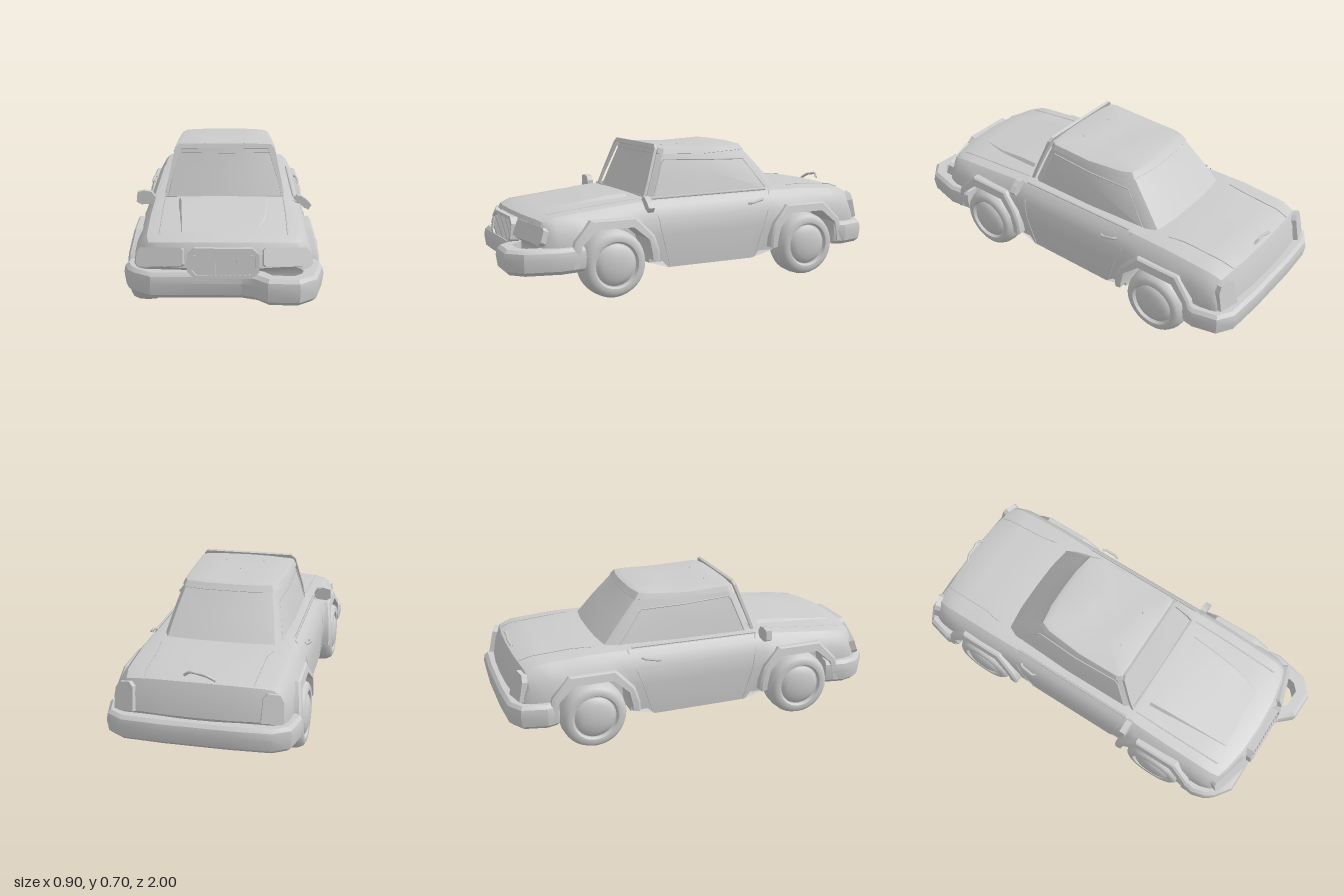
import * as THREE from 'three';
import { toCreasedNormals } from 'three/addons/utils/BufferGeometryUtils.js';

const mat = new THREE.MeshStandardMaterial({ color: 0xcccccc, side: THREE.DoubleSide });
const V = (x, y, z) => new THREE.Vector3(x, y, z);
const FRONT = 0.49, REAR = -0.59;

export function createModel() {
  const car = new THREE.Group();
  car.name = 'car';
  const add = (name, geo, parent = car) => {
    const m = new THREE.Mesh(geo, mat);
    m.name = name;
    parent.add(m);
    return m;
  };

  // Skin a list of equal-length rows of points; optional closing and end caps.
  const loft = (rows, { closed = false, caps = false, crease = 0.5 } = {}) => {
    const n = rows[0].length, pos = [], idx = [];
    rows.forEach(r => r.forEach(p => pos.push(p.x, p.y, p.z)));
    for (let i = 0; i < rows.length - 1; i++)
      for (let j = 0; j < (closed ? n : n - 1); j++) {
        const a = i * n + j, b = i * n + (j + 1) % n;
        idx.push(a, b, a + n, b, b + n, a + n);
      }
    if (caps) [0, rows.length - 1].forEach(i => {
      const c = pos.length / 3, m = V(0, 0, 0);
      rows[i].forEach(p => m.addScaledVector(p, 1 / n));
      pos.push(m.x, m.y, m.z);
      for (let j = 0; j < n; j++) {
        const a = i * n + j, b = i * n + (j + 1) % n;
        i ? idx.push(a, b, c) : idx.push(b, a, c);
      }
    });
    const g = new THREE.BufferGeometry();
    g.setAttribute('position', new THREE.Float32BufferAttribute(pos, 3));
    g.setIndex(idx);
    return toCreasedNormals(g, crease);
  };
  const poly = pts => new THREE.Shape(pts.map(p => new THREE.Vector2(p[0], p[1])));
  const extrude = (shape, depth) => new THREE.ExtrudeGeometry(shape, { depth, bevelEnabled: false });
  const mirrorX = pts => [...pts, ...pts.slice().reverse().map(p => [-p[0], p[1]])];
  const seam = (name, pts, r = 0.0025) => {
    const path = new THREE.CurvePath();
    for (let i = 1; i < pts.length; i++) path.add(new THREE.LineCurve3(V(...pts[i - 1]), V(...pts[i])));
    return add(name, new THREE.TubeGeometry(path, pts.length * 6, r, 5));
  };

  // Wheel arch outlines: distance from the axle, height
  const archIn = [[0.185, 0.15], [0.185, 0.2], [0.17, 0.27], [0.095, 0.335]];
  const archOut = [[0.225, 0.17], [0.222, 0.22], [0.2, 0.29], [0.115, 0.378]];

  // Body shell: z, half width, height of the upper edge, crown
  const stations = [
    [0.898, 0.375, 0.285, 0], [0.885, 0.385, 0.345, 0.005], [0.86, 0.392, 0.385, 0.008], [0.8, 0.402, 0.402, 0.012],
    [0.5, 0.405, 0.432, 0.008], [0.3, 0.402, 0.45, 0.005], [-0.4, 0.402, 0.457, 0], [-0.6, 0.405, 0.458, 0.005],
    [-0.85, 0.402, 0.442, 0.008], [-0.92, 0.392, 0.42, 0.01], [-0.945, 0.385, 0.36, 0.005], [-0.96, 0.375, 0.28, 0]];
  const sample = z => {
    let i = 0;
    while (i < stations.length - 2 && stations[i + 1][0] > z) i++;
    const a = stations[i], b = stations[i + 1], t = (a[0] - z) / (a[0] - b[0]);
    return a.map((v, k) => v + (b[k] - v) * t);
  };
  const cuts = stations.map(s => [s[0], 0.15]);
  [FRONT, REAR].forEach(c => [1, -1].forEach(s => archIn.forEach(([d, y]) => cuts.push([c + s * d, y]))));
  cuts.push([0.23, 0.15], [0.2, 0.117], [-0.28, 0.117], [-0.32, 0.15]);
  const order = cuts.filter(([z, y]) =>
    !(y === 0.15 && [FRONT, REAR].some(c => Math.abs(z - c) < 0.18)));
  [0.5, -0.6].forEach(z => order.push([z, 0.335]));
  // At a shared z the lower cut stays on the outer side of the arch
  order.sort((a, b) => b[0] - a[0] || ([FRONT, REAR].some(c => a[0] > c && a[0] - c < 0.2) ? a[1] - b[1] : b[1] - a[1]));
  // Nose and tail are bowed in plan
  const bow = (x, z) => {
    const nose = 0.085 * THREE.MathUtils.smoothstep(z, 0.68, 0.92), tail = 0.04 * THREE.MathUtils.smoothstep(-z, 0.78, 0.94);
    return z - (nose - tail) * Math.abs(x / 0.4) ** 2.5;
  };
  const shell = order.map(([z, yb]) => {
    const [, w, yt, crown] = sample(z);
    const h = f => Math.max(yb + f * 0.01, 0.15 + f * (yt - 0.15));
    const half = [[w - 0.012, yb], [w, h(0.43)], [w - 0.008, h(0.7)], [w - 0.035, h(0.88)],
      [w - 0.06, h(0.97)], [w - 0.11, yt], [0.15, yt + crown * 0.8]];
    return [...half, [0, yt + crown], ...half.slice().reverse().map(p => [-p[0], p[1]])].map(p => V(p[0], p[1], bow(p[0], z)));
  });
  add('bodyShell', loft(shell, { caps: true }));

  // Underbody with wheel notches; only the sills hang low, the left edge sags a little
  const floor = [[0.88, 0.32, 0.15], [0.675, 0.39, 0.15], [0.675, 0.27, 0.15], [0.305, 0.27, 0.15], [0.305, 0.39, 0.15],
    [0.2, 0.39, 0.117], [-0.28, 0.39, 0.117], [-0.405, 0.39, 0.15], [-0.405, 0.27, 0.15], [-0.775, 0.27, 0.15],
    [-0.775, 0.39, 0.15], [-0.955, 0.345, 0.15]];
  add('underbody', loft(floor.map(([z, w, y]) =>
    [V(w, y, z), V(0.27, y < 0.15 ? 0.13 : 0.148, z), V(0, 0.148, z), V(-0.27, 0.148, z), V(-w, y, z)])));

  // Wheels, wells and arch flares
  const tyre = [[0, -0.07], [0.12, -0.078], [0.145, -0.07], [0.16, -0.04], [0.163, 0], [0.16, 0.04], [0.148, 0.066],
    [0.13, 0.077], [0.112, 0.075], [0.104, 0.06], [0.1, 0.06], [0.095, 0.068], [0.07, 0.08], [0.035, 0.086], [0, 0.088]]
    .map(p => new THREE.Vector2(...p));
  const opening = mirrorX(archIn);
  [[FRONT, 'front'], [REAR, 'rear']].forEach(([c, end]) => [1, -1].forEach(s => {
    const side = s > 0 ? 'Left' : 'Right';
    const wheel = add(end + side + 'Wheel', toCreasedNormals(new THREE.LatheGeometry(tyre, 32), 0.7));
    wheel.rotation.z = -s * Math.PI / 2;
    wheel.position.set(s * 0.363, 0.164, c);
    const line = x => opening.map(([d, y]) => V(s * x, y, c + d));
    add(end + side + 'WheelWell', loft([opening.map(() => V(s * 0.27, 0.15, c)), line(0.27), line(0.395)]));
    // Flare: outer wall, lip and inner wall, leaning inward towards the top
    const ring = (pts, x, k) => mirrorX(pts).map(([d, y]) => V(s * (x - Math.max(0, y - 0.27) * k), y, c + d));
    const inner = [[0.187, 0.17], ...archIn.slice(1)];
    add(end + side + 'ArchFlare', loft([ring(archOut, 0.37, 0), ring(archOut, 0.43, 0.22), ring(archOut.map(([d, y]) =>
      [d - 0.01, y - 0.006]), 0.438, 0.22), ring(inner, 0.438, 0.22), ring(inner, 0.38, 0)]));
  }));

  // Bumpers: one section swept along a plan path
  const section = [[0.008, 0.165], [0, 0.22], [0.006, 0.25], [0.022, 0.265], [0.075, 0.265], [0.075, 0.146], [0.03, 0.146]];
  const bumper = (name, path) => {
    const rows = path.map(([x, z], i) => {
      const a = path[Math.max(0, i - 1)], b = path[Math.min(path.length - 1, i + 1)];
      const l = Math.hypot(b[0] - a[0], b[1] - a[1]), nx = (b[1] - a[1]) / l, nz = -(b[0] - a[0]) / l;
      return section.map(([d, y]) => V(x + nx * d, y, z + nz * d));
    });
    add(name, loft(rows, { closed: true, caps: true }));
  };
  bumper('frontBumper', [[-0.432, 0.64], [-0.45, 0.74], [-0.43, 0.81], [-0.4, 0.85], [-0.32, 0.908], [0.08, 0.908],
    [0.13, 0.93], [0.19, 0.995], [0.33, 1], [0.41, 0.93], [0.45, 0.76], [0.435, 0.64]]);
  bumper('rearBumper', [[0.432, -0.76], [0.45, -0.82], [0.42, -0.94], [0.34, -0.99], [0.15, -1], [-0.15, -1],
    [-0.34, -0.99], [-0.42, -0.94], [-0.45, -0.82], [-0.432, -0.76]]);

  // Cabin: rings from belt line to the dished roof (height, front z, rear z, front and rear half width)
  const cabinRing = (y, zf, zr, wf, wr, dip) => {
    const half = [[wf * 0.5, zf - 0.005], [wf * 0.94, zf - 0.02], [wf, zf - 0.045], [(wf + wr) / 2 + 0.01, (zf + zr) / 2],
      [wr + 0.004, zr + 0.07], [wr * 0.93, zr + 0.02], [wr * 0.5, zr + 0.003]];
    const pts = [[0, zf], ...half, [0, zr], ...half.slice().reverse().map(p => [-p[0], p[1]])];
    return pts.map(([x, z]) => V(x, y - dip * Math.max(0, 1 - Math.abs((z + 0.04) / 0.24) ** 2), z));
  };
  const cabin = [[0.44, 0.285, -0.525, 0.298, 0.285, 0], [0.56, 0.24, -0.425, 0.272, 0.258, 0],
    [0.655, 0.205, -0.338, 0.248, 0.232, 0.01], [0.657, 0.206, -0.338, 0.258, 0.238, 0.01],
    [0.684, 0.198, -0.318, 0.248, 0.228, 0.012], [0.693, 0.18, -0.29, 0.225, 0.205, 0.016],
    [0.69, 0.03, -0.13, 0.08, 0.08, 0.012], [0.69, -0.04, -0.05, 0.005, 0.005, 0.012]];
  add('cabin', loft(cabin.map(r => cabinRing(...r)), { closed: true, crease: 0.45 }));

  // Windscreen surround
  const surround = poly([[-0.292, 0], [0.292, 0], [0.282, 0.08], [0.248, 0.245], [0.228, 0.266],
    [-0.228, 0.266], [-0.248, 0.245], [-0.282, 0.08]]);
  surround.holes.push(poly([[-0.28, 0.006], [-0.265, 0.08], [-0.217, 0.242], [0.217, 0.242], [0.265, 0.08], [0.28, 0.006]]));
  const frame = add('windscreenFrame', extrude(surround, 0.014));
  frame.position.set(0, 0.447, 0.273);
  frame.rotation.x = -0.345;

  // Bonnet panel, rising to an open rear edge
  const panel = [[0.77, 0.185, 0.145, 0.414], [0.6, 0.195, 0.185, 0.435], [0.45, 0.205, 0.197, 0.458], [0.34, 0.212, 0.205, 0.466]];
  add('bonnetPanel', loft(panel.map(([z, l, r, y]) =>
    [V(-l - 0.015, 0.4 + (0.78 - z) * 0.1, z), V(-l, y, z), V(0, y + 0.002, z), V(r, y, z), V(r + 0.015, 0.4 + (0.78 - z) * 0.1, z)])));

  // Grille: octagonal rim, backing and upright bars
  const oct = (w, h, c) => [[w, -h + c], [w, h - c], [w - c, h], [c - w, h], [-w, h - c], [-w, c - h], [c - w, -h], [w - c, -h]];
  const grille = new THREE.Group();
  grille.name = 'grille';
  grille.position.set(0, 0.308, 0.866);
  grille.rotation.x = -0.12;
  car.add(grille);
  const rim = poly(oct(0.157, 0.066, 0.03));
  rim.holes.push(poly(oct(0.138, 0.052, 0.022)));
  add('grilleRim', extrude(rim, 0.045), grille);
  add('grilleBacking', extrude(poly(oct(0.15, 0.06, 0.026)), 0.03), grille);
  for (let i = 0; i < 13; i++) {
    const bar = add('grilleBar', new THREE.BoxGeometry(0.013, i % 12 ? 0.104 : 0.07, 0.014), grille);
    bar.position.set((i - 6) * 0.0208, 0, 0.032);
  }

  // Paired details
  [1, -1].forEach(s => {
    const side = s > 0 ? 'left' : 'right';
    const lamp = add(side + 'Headlight', extrude(poly([[-0.108, -0.035], [-0.098, -0.042], [0.1, -0.042], [0.112, -0.025],
      [0.106, 0.03], [0.09, 0.042], [-0.098, 0.038], [-0.108, 0.028]].map(p => [s * p[0], p[1]])), 0.04));
    lamp.position.set(s * 0.268, 0.317, 0.829);
    lamp.rotation.set(-0.35, s * 0.3, 0);

    const tail = add(side + 'TailLight', extrude(poly([[-0.05, -0.065], [0.05, -0.065], [0.045, 0.03], [0.028, 0.06],
      [-0.025, 0.065], [-0.045, 0.045]].map(p => [s * p[0], p[1]])), 0.04));
    tail.position.set(s * 0.335, 0.345, -0.937);
    tail.rotation.set(0.22, -s * 0.3, 0);

    // The left mirror hangs askew and is seen thinner
    const mirror = new THREE.Group();
    mirror.name = side + 'Mirror';
    const tall = s > 0 ? 0.55 : 1;
    add('mirrorHousing', extrude(poly([[-0.045, -0.02], [-0.02, -0.034], [0.045, -0.028], [0.045, 0.008], [0.03, 0.03],
      [-0.005, 0.036], [-0.04, 0.028]].map(p => [-s * p[0], p[1] * tall])), 0.03), mirror);
    mirror.position.set(s * 0.388, s > 0 ? 0.434 : 0.455, 0.29);
    mirror.rotation.z = s > 0 ? -0.72 : 0;
    car.add(mirror);
    seam(side + 'MirrorStalk', [[s * 0.335, 0.44, 0.305], [s * 0.37, 0.43, 0.305], [s * 0.385, 0.445, 0.305]], 0.006);

    seam(side + 'DoorHandle', [[s * 0.392, 0.398, -0.25], [s * 0.402, 0.4, -0.265], [s * 0.396, 0.413, -0.33], [s * 0.385, 0.416, -0.34]], 0.007);
    seam(side + 'DoorSeam', [[s * 0.343, 0.447, 0.27], [s * 0.395, 0.36, 0.25], [s * 0.402, 0.28, 0.235], [s * 0.392, 0.125, 0.19]]);
    seam(side + 'DoorRearSeam', [[s * 0.345, 0.45, -0.4], [s * 0.395, 0.36, -0.37], [s * 0.402, 0.28, -0.34], [s * 0.392, 0.125, -0.29]]);
    seam(side + 'BonnetSeam', [[s * 0.29, 0.449, 0.3], [s * 0.29, 0.432, 0.5], [s * 0.285, 0.403, 0.78]], 0.004);
    seam(side + 'BootSeam', [[s * 0.27, 0.46, -0.56], [s * 0.255, 0.46, -0.65], [s * 0.25, 0.446, -0.85], [s * 0.245, 0.428, -0.905]]);
    seam(side + 'BeltTrim', [[s * 0.342, 0.452, 0.27], [s * 0.342, 0.458, -0.38]], 0.006);
    seam(side + 'WindowTrim', [[s * 0.295, 0.455, 0.23], [s * 0.257, 0.63, 0.165], [s * 0.262, 0.617, -0.08],
      [s * 0.248, 0.61, -0.3], [s * 0.286, 0.455, -0.42]], 0.004);
    add(side + 'RoofStud', new THREE.SphereGeometry(0.006, 8, 6)).position.set(s * 0.1, 0.683, 0.09);
  });

  // Bent trim strip on the boot lid
  const strip = new THREE.CatmullRomCurve3([V(-0.075, 0.44, -0.905), V(-0.04, 0.462, -0.915), V(0, 0.47, -0.912),
    V(0.035, 0.476, -0.915), V(0.065, 0.455, -0.905)]);
  add('bootTrim', new THREE.TubeGeometry(strip, 20, 0.007, 6));
  return car;
}
